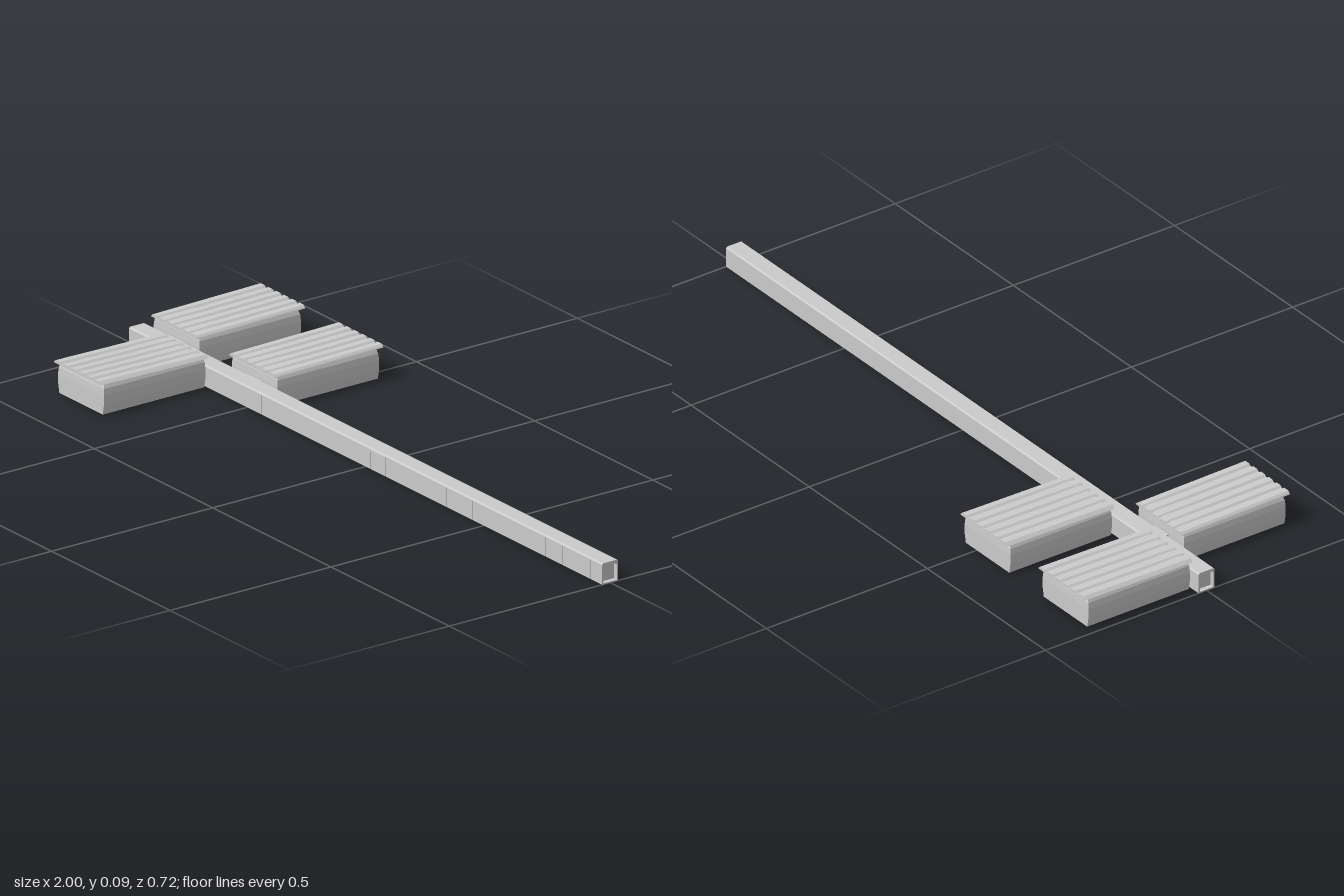
import * as THREE from 'three';

const material = new THREE.MeshStandardMaterial({ color: 0xcccccc, flatShading: true, side: THREE.DoubleSide });

function add(parent, name, geometry, x = 0, y = 0, z = 0) {
  const mesh = new THREE.Mesh(geometry, material);
  mesh.name = name;
  mesh.position.set(x, y, z);
  parent.add(mesh);
  return mesh;
}

function addBox(parent, name, w, h, d, x, y, z) {
  return add(parent, name, new THREE.BoxGeometry(w, h, d), x, y, z);
}

// Closed solid from stacked rectangular rings: [y, halfWidth, zInner, zOuter]
function ringSolid(rings) {
  const pos = [], index = [];
  for (const [y, w, z0, z1] of rings) pos.push(-w, y, z0, -w, y, z1, w, y, z1, w, y, z0);
  for (let r = 0; r < rings.length - 1; r++) {
    for (let i = 0; i < 4; i++) {
      const a = r * 4 + i, b = r * 4 + (i + 1) % 4;
      index.push(a, b, b + 4, a, b + 4, a + 4);
    }
  }
  const t = (rings.length - 1) * 4;
  index.push(0, 2, 1, 0, 3, 2, t, t + 1, t + 2, t, t + 2, t + 3);
  const g = new THREE.BufferGeometry();
  g.setAttribute('position', new THREE.Float32BufferAttribute(pos, 3));
  g.setIndex(index);
  g.computeVertexNormals();
  return g;
}

// Ribbed roof sheet, extruded along z and rising towards its outer end
function roofGeometry() {
  const ribs = 6, half = 0.099, pitch = (2 * half) / ribs;
  const shape = new THREE.Shape();
  shape.moveTo(-half, -0.003);
  for (let i = 0; i < ribs; i++) {
    const x = -half + i * pitch;
    shape.lineTo(x + pitch * 0.05, 0);
    shape.lineTo(x + pitch * 0.22, 0.005);
    shape.lineTo(x + pitch * 0.72, 0.005);
    shape.lineTo(x + pitch * 0.9, 0);
  }
  shape.lineTo(half, -0.003);
  const g = new THREE.ExtrudeGeometry(shape, { depth: 0.335, bevelEnabled: false });
  const p = g.attributes.position;
  for (let i = 0; i < p.count; i++) p.setY(i, p.getY(i) + p.getZ(i) * 0.015);
  g.computeVertexNormals();
  return g;
}

// One side building, extending outward along its local +z
function createPod(name, x, side) {
  const pod = new THREE.Group();
  pod.name = name;
  pod.position.x = x;
  if (side < 0) pod.rotation.y = Math.PI;
  add(pod, 'podBody', ringSolid([
    [0.003, 0.092, 0.035, 0.35],
    [0.03, 0.097, 0.035, 0.35],
    [0.055, 0.097, 0.035, 0.35],
    [0.072, 0.095, 0.036, 0.349],
    [0.086, 0.089, 0.039, 0.345],
  ]));
  add(pod, 'ribbedRoof', roofGeometry(), 0, 0.084, 0.027);
  // Short passage into the corridor
  addBox(pod, 'passage', 0.06, 0.048, 0.016, 0, 0.026, 0.03);
  addBox(pod, 'threshold', 0.07, 0.003, 0.022, 0, 0.0015, 0.034);
  return pod;
}

// Long corridor with chamfered shallow recesses at both ends
function createCorridor() {
  const corridor = new THREE.Group();
  corridor.name = 'corridor';
  const outer = new THREE.Shape();
  outer.moveTo(-0.025, 0);
  outer.lineTo(0.025, 0);
  outer.lineTo(0.025, 0.053);
  outer.lineTo(0.022, 0.057);
  outer.lineTo(-0.022, 0.057);
  outer.lineTo(-0.025, 0.053);
  const opening = new THREE.Path();
  opening.moveTo(-0.021, 0.003);
  opening.lineTo(-0.021, 0.044);
  opening.lineTo(-0.015, 0.051);
  opening.lineTo(0.015, 0.051);
  opening.lineTo(0.021, 0.044);
  opening.lineTo(0.021, 0.003);
  outer.holes.push(opening);
  const shell = new THREE.ExtrudeGeometry(outer, { depth: 2, bevelEnabled: false });
  shell.rotateY(Math.PI / 2);
  add(corridor, 'corridorShell', shell, -1, 0, 0);
  for (const s of [-1, 1]) addBox(corridor, 'endPanel', 0.004, 0.05, 0.044, s * 0.985, 0.028, 0);

  // Thin wall joints along the front
  for (const x of [-0.56, -0.44, -0.26, -0.15, 0.34, 0.45, 0.52, 0.66, 0.76, 0.83, 0.95])
    addBox(corridor, 'wallJoint', 0.004, 0.052, 0.001, x, 0.027, 0.0252);

  // Door framed by two posts and a lintel
  for (const x of [0.02, 0.085]) addBox(corridor, 'doorPost', 0.004, 0.052, 0.002, x, 0.027, 0.0255);
  addBox(corridor, 'doorLintel', 0.065, 0.003, 0.002, 0.0525, 0.05, 0.0255);
  return corridor;
}

export function createModel() {
  const model = new THREE.Group();
  model.name = 'corridorWithPods';
  model.add(createCorridor());
  model.add(createPod('rearOuterPod', -0.88, -1));
  model.add(createPod('rearInnerPod', -0.55, -1));
  model.add(createPod('frontPod', -0.76, 1));
  return model;
}
